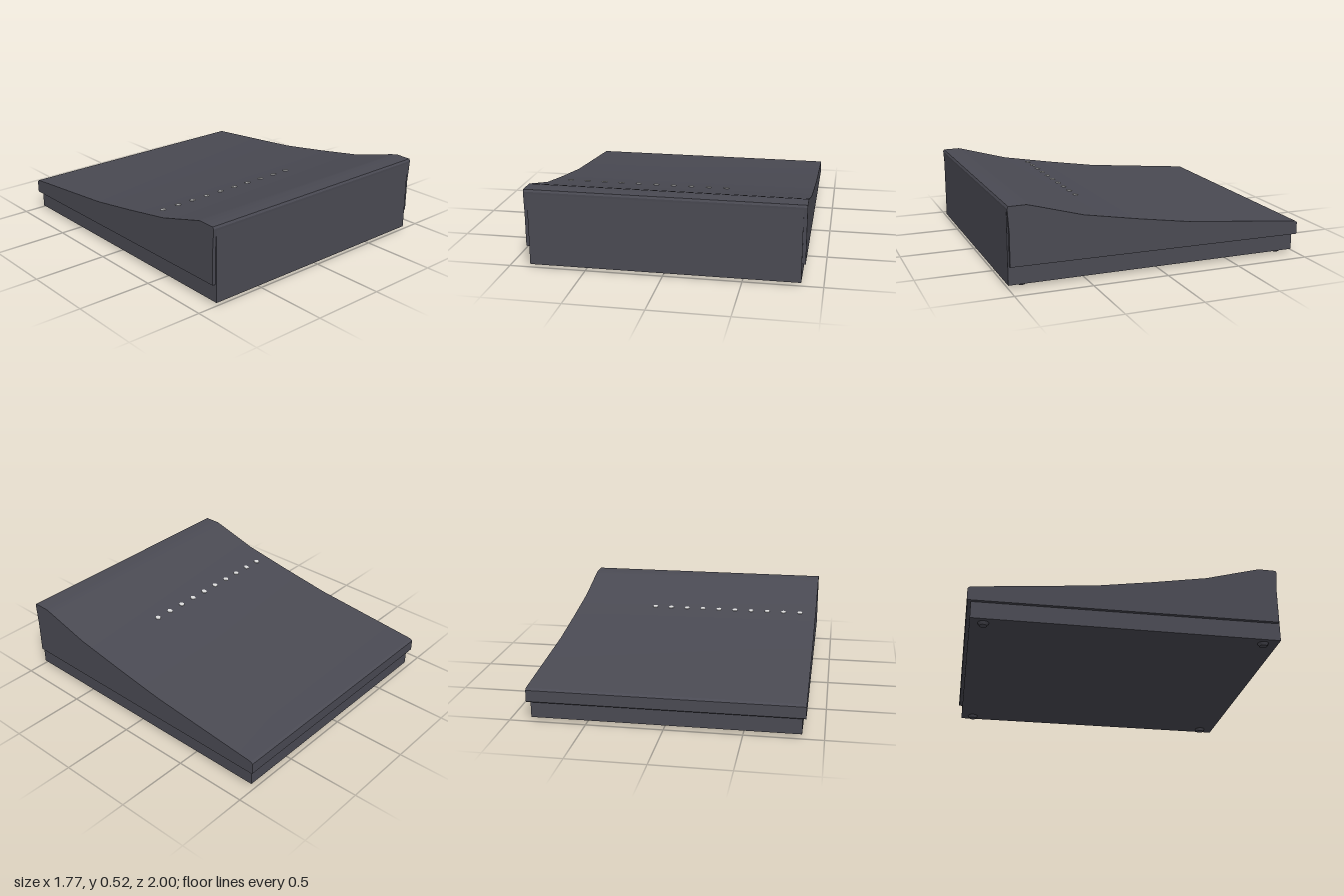
import * as THREE from 'three';
import { toCreasedNormals } from 'three/addons/utils/BufferGeometryUtils.js';

export function createModel() {
  const model = new THREE.Group();
  model.name = 'slopedDeskUnit';
  const casing = new THREE.MeshStandardMaterial({ color: 0x4a4a53 });
  casing.name = 'charcoal casing';
  const light = new THREE.MeshStandardMaterial({ color: 0xd8d8d8 });
  light.name = 'pale grey marker';

  const add = (name, geometry, material, x, y, z, parent = model) => {
    const mesh = new THREE.Mesh(geometry, material);
    mesh.name = name;
    mesh.position.set(x, y, z);
    parent.add(mesh);
    return mesh;
  };

  // Sloped cover: side profile as [z, y], extruded across the width
  const profile = [
    [-0.995, 0.13], [0.99, 0.14], [0.99, 0.36], [1.0, 0.505], [0.993, 0.519], [0.88, 0.52],
    [0.83, 0.507], [0.52, 0.42], [0.16, 0.357], [-0.2, 0.3], [-0.985, 0.222], [-1, 0.21], [-1, 0.135],
  ];
  const shape = new THREE.Shape(profile.map(([z, y]) => new THREE.Vector2(-z, y)));
  const width = 1.77;
  const coverGeometry = new THREE.ExtrudeGeometry(shape, { depth: width, bevelEnabled: false });
  coverGeometry.rotateY(Math.PI / 2);
  coverGeometry.translate(-width / 2, 0, 0);
  add('slopedCover', toCreasedNormals(coverGeometry, 0.5), casing, 0, 0, 0);

  // Inset base tray and the front panel rising from it
  add('baseTray', new THREE.BoxGeometry(1.725, 0.125, 1.973), casing, 0, 0.0825, 0.0115);
  add('frontPanel', new THREE.BoxGeometry(1.725, 0.48, 0.02), casing, 0, 0.26, 0.989);

  // Tapered feet at the four corners
  const footGeometry = new THREE.CylinderGeometry(0.037, 0.025, 0.022, 16);
  for (const x of [-0.8, 0.8]) {
    for (const z of [-0.89, 0.9]) add('foot', footGeometry, casing, x, 0.011, z);
  }

  // Row of ten indicator dots lying on the slope
  const dots = new THREE.Group();
  dots.name = 'indicatorDots';
  dots.position.set(0, 0.394, 0.37);
  dots.rotation.x = -0.173;
  model.add(dots);
  const dotGeometry = new THREE.CylinderGeometry(0.019, 0.019, 0.008, 8);
  for (let i = 0; i < 10; i++) add('indicatorDot', dotGeometry, light, -0.77 + i * 0.12, 0, 0, dots);

  return model;
}
